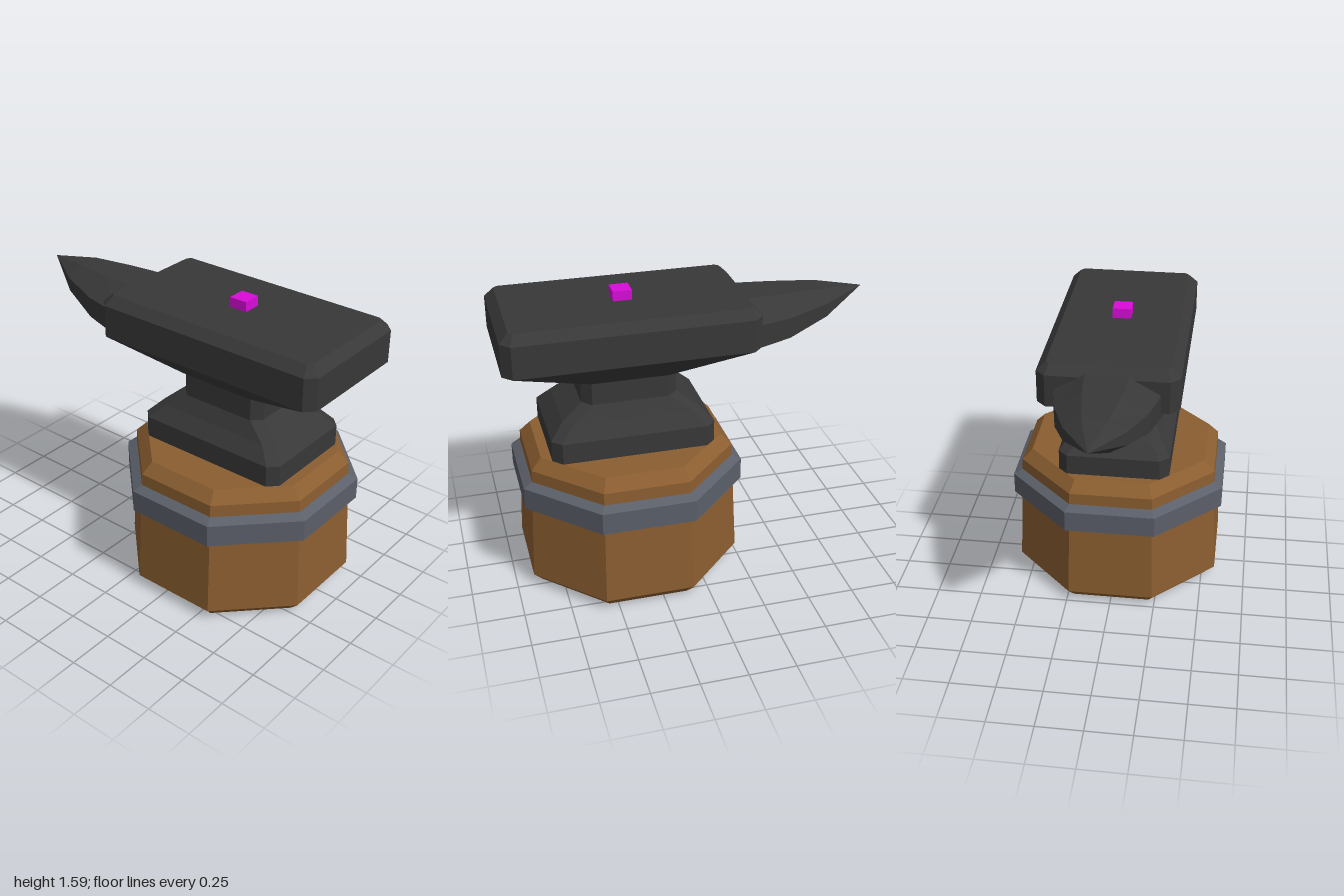
import * as THREE from 'three';

const CX = 0.333; // the block and anvil body share this axis

const mat = (name, color) => {
  const m = new THREE.MeshStandardMaterial({ color, flatShading: true });
  m.name = name;
  return m;
};

// Closed solid through cross-sections, each counter-clockwise seen from the far end
function loft(rings) {
  const pos = [];
  const tri = (a, b, c) => pos.push(...a, ...b, ...c);
  for (let r = 0; r < rings.length - 1; r++) {
    const a = rings[r], b = rings[r + 1], n = a.length;
    for (let i = 0; i < n; i++) {
      const j = (i + 1) % n;
      tri(a[i], a[j], b[j]);
      tri(a[i], b[j], b[i]);
    }
  }
  const first = rings[0], last = rings[rings.length - 1];
  for (let i = 1; i < first.length - 1; i++) {
    tri(first[0], first[i + 1], first[i]);
    tri(last[0], last[i], last[i + 1]);
  }
  const g = new THREE.BufferGeometry();
  g.setAttribute('position', new THREE.Float32BufferAttribute(pos, 3));
  g.computeVertexNormals();
  return g;
}

// Regular octagon with unit apothem and flat sides on the axes
const octagon = Array.from({ length: 8 }, (_, i) => {
  const a = (i + 0.5) * Math.PI / 4, r = 1 / Math.cos(Math.PI / 8);
  return [r * Math.cos(a), r * Math.sin(a)];
});

// Horizontal octagon at height y
const octRing = ([y, r]) => octagon.map(([u, v]) => [CX + u * r, y, -v * r]);

// Horizontal rectangle with cut corners: height, half width, half depth, cut
const rectRing = ([y, w, d, c = 0.05]) => [
  [w, d - c], [w - c, d], [-w + c, d], [-w, d - c],
  [-w, -d + c], [-w + c, -d], [w - c, -d], [w, -d + c],
].map(([x, z]) => [CX + x, y, -z]);

// Upright octagon across the horn: x, bottom, top, half width
const hornRing = ([x, y0, y1, w]) =>
  octagon.map(([u, v]) => [x, (y0 + y1) / 2 + v * (y1 - y0) / 2, u * w]);

export function createModel() {
  const group = new THREE.Group();
  const iron = mat('dark iron', 0x383838);
  const wood = mat('brown wood', 0x8b5e30);
  const steel = mat('grey steel', 0x5b5f69);
  const magenta = mat('magenta', 0xd80cd8);
  const add = (name, geometry, material) => {
    const mesh = new THREE.Mesh(geometry, material);
    mesh.name = name;
    group.add(mesh);
    return mesh;
  };

  // Wooden block, bevelled at both ends
  add('woodBlock', loft([
    [0, 0.52], [0.06, 0.575], [0.71, 0.545], [0.77, 0.49],
  ].map(octRing)), wood);

  // Metal hoop around the block
  add('hoop', loft([
    [0.48, 0.555], [0.5, 0.595], [0.62, 0.595], [0.645, 0.55],
  ].map(octRing)), steel);

  // Foot, waist, flare and face of the anvil
  add('anvilBody', loft([
    [0.765, 0.437, 0.305], [0.885, 0.437, 0.305], [0.96, 0.365, 0.245],
    [1.04, 0.255, 0.202], [1.16, 0.255, 0.202], [1.315, 0.667, 0.367],
    [1.49, 0.667, 0.367], [1.538, 0.618, 0.318, 0.02],
  ].map(rectRing)), iron);

  // Horn, tapering to a raised point
  add('horn', loft([
    [-0.295, 1.19, 1.505, 0.28], [-0.52, 1.23, 1.5, 0.235],
    [-0.75, 1.32, 1.495, 0.155], [-1, 1.464, 1.466, 0.001],
  ].map(hornRing)), iron);

  // Small marker block on the face
  add('markerBlock', new THREE.BoxGeometry(0.1, 0.06, 0.1), magenta)
    .position.set(CX, 1.562, 0);

  return group;
}
